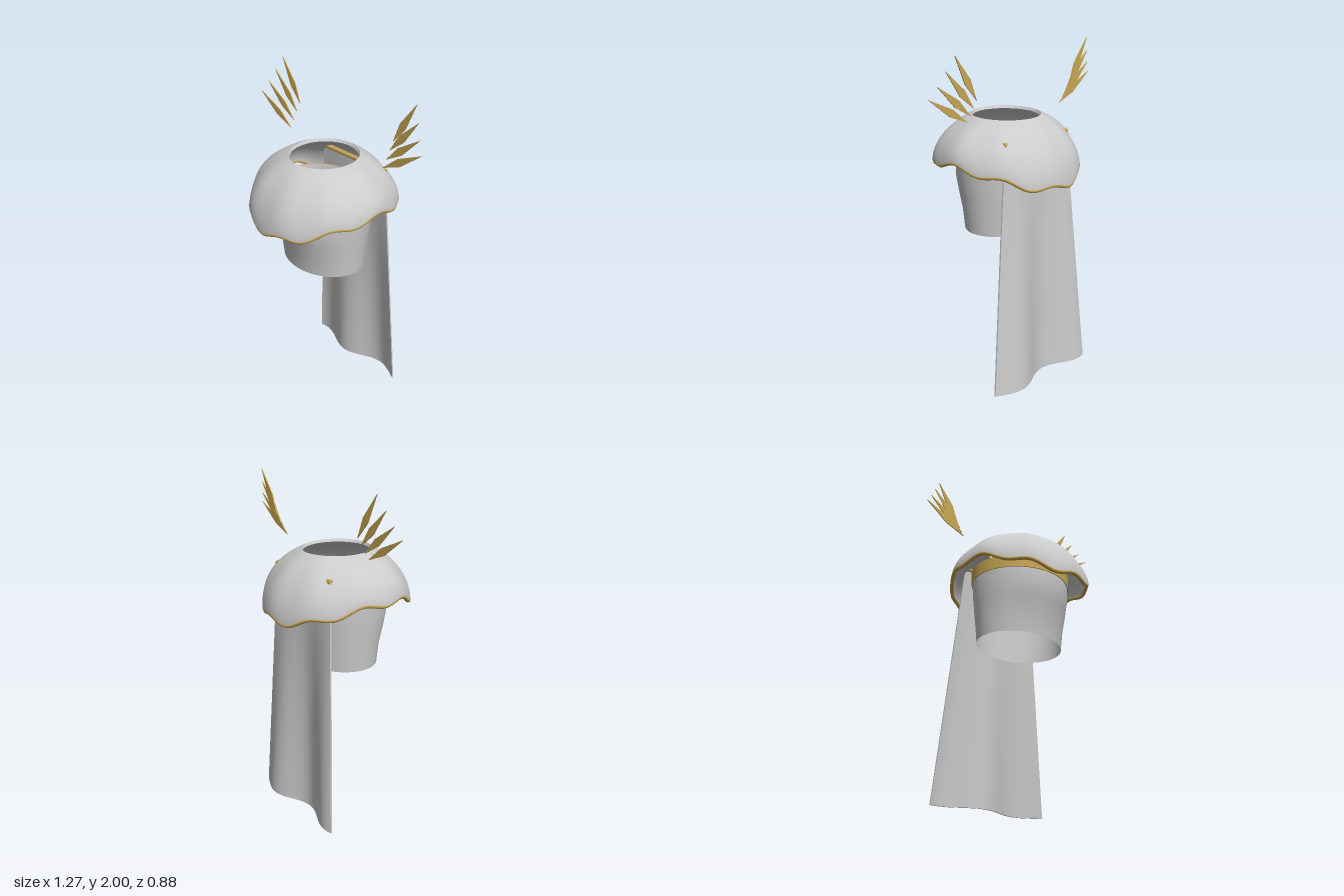
import * as THREE from 'three';
import { toCreasedNormals } from 'three/addons/utils/BufferGeometryUtils.js';

const TAU = Math.PI * 2;
const cloth = new THREE.MeshStandardMaterial({ color: 0xcccccc, side: THREE.DoubleSide });
const gold = new THREE.MeshStandardMaterial({ color: 0xc9a855, side: THREE.DoubleSide });

// Surface through fn(i, j) -> [x, y, z]; i runs around, j runs downward
function loft(fn, nu, nv, crease = 0.8) {
  const pos = [], idx = [];
  for (let i = 0; i <= nu; i++) for (let j = 0; j <= nv; j++) pos.push(...fn(i, j));
  for (let i = 0; i < nu; i++) for (let j = 0; j < nv; j++) {
    const a = i * (nv + 1) + j, d = a + nv + 1;
    idx.push(a, a + 1, d + 1, a, d + 1, d);
  }
  const g = new THREE.BufferGeometry();
  g.setAttribute('position', new THREE.Float32BufferAttribute(pos, 3));
  g.setIndex(idx);
  return toCreasedNormals(g, crease);
}

// Wavy hem height of the shoulder mantle, lower at front and back
const hemY = (t) => 1.313 - 0.057 * Math.cos(2 * t) + 0.016 * Math.cos(9 * (t - 0.21));

// Point on the mantle: k = 0 at the neck, 1 at the hem
function mantlePoint(t, k, inset) {
  const p0 = 0.488, p = p0 + (Math.PI / 2 - p0) * k;
  const h = hemY(t), f = Math.pow(Math.max(0, Math.cos(p) / Math.cos(p0)), 1.12);
  return [
    (0.422 - inset) * Math.sin(p) * Math.sin(t),
    h + (1.605 - h) * f - inset * 0.8 * (1 - k),
    (0.44 - inset) * Math.sin(p) * Math.cos(t),
  ];
}

// Bodice cross-section rows: height, half width, front depth, back depth
const rows = [
  [1.40, 0.305, 0.285, 0.255], [1.32, 0.304, 0.286, 0.25], [1.236, 0.30, 0.286, 0.245],
  [1.157, 0.292, 0.265, 0.238], [1.05, 0.281, 0.229, 0.228], [0.93, 0.27, 0.215, 0.217],
];
function bodicePoint(t, row, grow = 0) {
  const [y, w, f, b] = row, c = Math.cos(t);
  return [(w + grow) * Math.sin(t), y, ((c > 0 ? f : b) + grow) * c];
}

// Cape centre surface: s = -1..1 across, k = 0 top .. 1 bottom
function capePoint(s, k, offset) {
  const wave = Math.cos(4.47 * (s + 0.16));
  return [s * (0.25 + 0.12 * k), 1.5 * (1 - k), -0.24 - 0.058 * k + 0.042 * k * wave + offset];
}

export function createModel() {
  const model = new THREE.Group();
  const add = (name, geometry, material, parent = model) => {
    const mesh = new THREE.Mesh(geometry, material);
    mesh.name = name;
    parent.add(mesh);
    return mesh;
  };

  // Shoulder mantle: outer skin down to the hem, inner skin back up, closed at the neck
  const N = 24;
  add('mantle', loft((i, j) => {
    const t = (i / 120) * TAU;
    if (j === 2 * N + 2) return mantlePoint(t, 0, 0);
    return j <= N ? mantlePoint(t, j / N, 0) : mantlePoint(t, (2 * N + 1 - j) / N, 0.02);
  }, 120, 2 * N + 2), cloth);

  // Rolled gold edge along the hem
  const hem = [];
  for (let i = 0; i < 120; i++) hem.push(new THREE.Vector3(...mantlePoint((i / 120) * TAU, 1, 0.01)));
  add('hemTrim', new THREE.TubeGeometry(new THREE.CatmullRomCurve3(hem, true), 240, 0.012, 8, true), gold);

  // Open bodice with a gold band around its top
  add('bodice', loft((i, j) => bodicePoint((i / 64) * TAU, rows[j]), 64, rows.length - 1), cloth);
  add('bodiceBand', loft((i, j) => bodicePoint((i / 64) * TAU, rows[[0, 0, 1, 1][j]], [0, 0.006, 0.006, 0][j]), 64, 3), gold);

  // Flowing cape: a thin slab, pinched shut at top and bottom
  const M = 40, R = 24;
  add('cape', loft((i, j) => {
    const q = i % (2 * M + 2), front = q <= M;
    const s = (front ? q : 2 * M + 1 - q) / M * 2 - 1;
    const k = Math.min(1, Math.max(0, (j - 1) / R));
    const half = j === 0 || j === R + 2 ? 0 : 0.005;
    return capePoint(s, k, front ? half : -half);
  }, 2 * M + 2, R + 2), cloth);

  // Rod that holds the cape, its ends poking through the mantle
  const rod = add('capeRod', new THREE.CylinderGeometry(0.014, 0.014, 0.51, 12), gold);
  rod.rotation.z = Math.PI / 2;
  rod.position.set(0, 1.5, -0.24);

  // Fans of flat blades on both sides: base height, tip x, tip y, z
  const blades = [
    [1.62, 0.635, 1.78, -0.08], [1.66, 0.595, 1.845, -0.105],
    [1.705, 0.557, 1.92, -0.13], [1.75, 0.517, 2.0, -0.155],
  ];
  for (const side of [1, -1]) {
    const fan = new THREE.Group();
    fan.name = side > 0 ? 'leftBladeFan' : 'rightBladeFan';
    for (const [y0, x1, y1, z] of blades) {
      const dx = x1 - 0.37, dy = y1 - y0, len = Math.hypot(dx, dy);
      const at = (k, w) => new THREE.Vector2(side * (0.37 + dx * k - dy / len * w), y0 + dy * k + dx / len * w);
      const shape = new THREE.Shape([at(0, 0), at(0.42, -0.022), at(1, 0), at(0.42, 0.022)]);
      const g = new THREE.ExtrudeGeometry(shape, { depth: 0.006, bevelEnabled: false });
      add('blade', g.translate(0, 0, z - 0.003), gold, fan);
    }
    model.add(fan);
  }
  return model;
}
